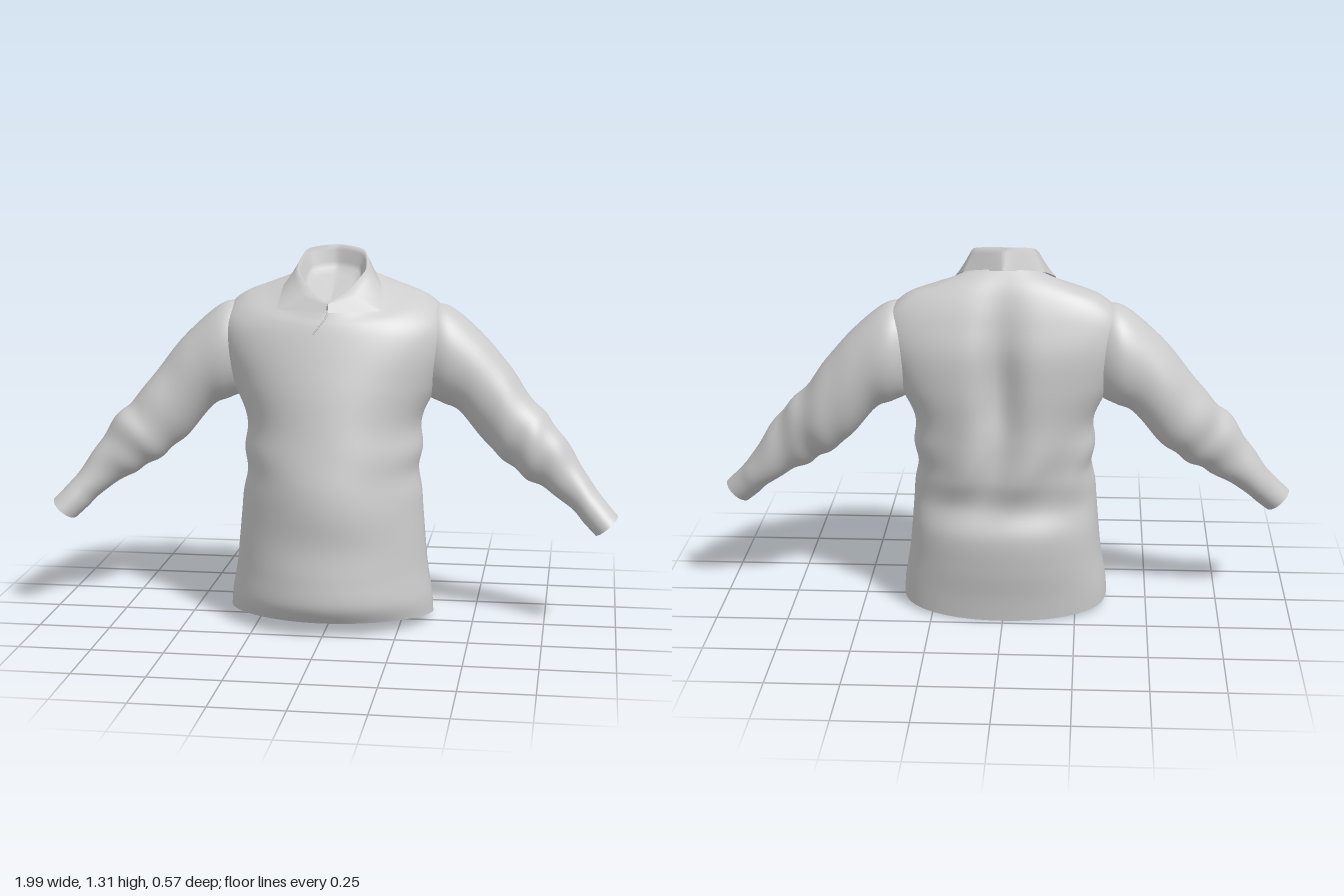
import * as THREE from 'three';

const cloth = new THREE.MeshStandardMaterial({ color: 0xcccccc, side: THREE.DoubleSide });
const bump = (v, centre, width) => Math.exp(-(((v - centre) / width) ** 2));

// Smooth interpolation through rows of numbers, t in 0..1
function sample(rows, t) {
  const s = t * (rows.length - 1);
  const i = Math.min(Math.floor(s), rows.length - 2), f = s - i;
  const row = (k) => rows[Math.max(0, Math.min(rows.length - 1, k))];
  return rows[i].map((b, k) => {
    const a = row(i - 1)[k], c = row(i + 1)[k], d = row(i + 2)[k];
    return b + 0.5 * f * (c - a + f * (2 * a - 5 * b + 4 * c - d + f * (3 * (b - c) + d - a)));
  });
}

// Grid surface from point(u, v); closed surfaces wrap in u so normals stay smooth
function surface(name, point, nu, nv, closed) {
  const pos = [], index = [], cols = closed ? nu : nu + 1;
  for (let i = 0; i <= nv; i++)
    for (let j = 0; j < cols; j++) pos.push(...point(j / nu, i / nv));
  for (let i = 0; i < nv; i++)
    for (let j = 0; j < nu; j++) {
      const a = i * cols + j, b = i * cols + ((j + 1) % cols);
      index.push(a, b, b + cols, a, b + cols, a + cols);
    }
  const g = new THREE.BufferGeometry();
  g.setAttribute('position', new THREE.Float32BufferAttribute(pos, 3));
  g.setIndex(index);
  g.computeVertexNormals();
  const mesh = new THREE.Mesh(g, cloth);
  mesh.name = name;
  return mesh;
}

// Body sections from hem to neck:
// half width, side z, front y, front z, side y, back y, back z
const bodyRows = [
  [0.36, 0.0, 0.052, 0.255, 0.035, 0.003, -0.23],
  [0.355, 0.0, 0.11, 0.288, 0.1, 0.09, -0.243],
  [0.338, 0.0, 0.2, 0.287, 0.2, 0.2, -0.265],
  [0.327, 0.0, 0.31, 0.278, 0.31, 0.32, -0.275],
  [0.318, -0.01, 0.42, 0.281, 0.42, 0.42, -0.243],
  [0.306, -0.02, 0.52, 0.276, 0.52, 0.52, -0.268],
  [0.308, -0.04, 0.62, 0.259, 0.62, 0.62, -0.277],
  [0.312, -0.06, 0.73, 0.232, 0.73, 0.73, -0.281],
  [0.362, -0.08, 0.85, 0.203, 0.84, 0.85, -0.285],
  [0.4, -0.09, 0.95, 0.172, 0.97, 0.97, -0.28],
  [0.395, -0.1, 1.02, 0.147, 1.07, 1.07, -0.252],
  [0.33, -0.1, 1.06, 0.13, 1.143, 1.14, -0.225],
  [0.225, -0.09, 1.085, 0.115, 1.182, 1.195, -0.195],
  [0.14, -0.06, 1.112, 0.1, 1.2, 1.24, -0.155],
];

function bodyPoint(u, v) {
  const [w, zS, yF, zF, yS, yB, zB] = sample(bodyRows, v);
  const a = u * Math.PI * 2, c = Math.cos(a), front = c > 0;
  // The belly is slightly pointed, the back broad and flat
  const k = front ? Math.pow(c, 1.32 - 0.42 * v) : Math.pow(-c, 0.75 - 0.2 * v);
  let x = w * Math.sin(a);
  const y = yS + ((front ? yF : yB) - yS) * k;
  let z = zS + ((front ? zF : zB) - zS) * k;
  if (!front) {
    // Spine groove between the shoulder blades, and slanting folds at the waist
    z += k * 0.06 * bump(x, 0.01 + 0.12 * Math.max(0, 0.7 - y), 0.065) * bump(y, 0.84, 0.25);
    z += k * 0.009 * Math.sin(30 * x + 13 * y) * bump(y, 0.55, 0.13);
  } else {
    z += k * 0.003 * Math.sin(9 * x + 17 * y) * bump(y, 0.5, 0.25);
  }
  // Bunched cloth at the sides of the waist
  x *= 1 + 0.018 * Math.sin(38 * y + 3 * Math.sign(x)) * Math.abs(Math.sin(a)) * bump(y, 0.58, 0.12);
  return [x, y, z];
}

// Sleeve sections from inside the shoulder to cuff: top x, y; bottom x, y; front z; back z
const sleeveRows = [
  [0.24, 1.05, 0.26, 0.88, -0.04, -0.15],
  [0.32, 1.105, 0.32, 0.8, 0.005, -0.205],
  [0.4, 1.108, 0.38, 0.768, 0.028, -0.236],
  [0.52, 1.01, 0.44, 0.74, 0.024, -0.225],
  [0.61, 0.905, 0.53, 0.635, 0.026, -0.212],
  [0.7, 0.785, 0.6, 0.575, 0.042, -0.185],
  [0.77, 0.715, 0.67, 0.525, 0.05, -0.14],
  [0.84, 0.615, 0.745, 0.485, 0.042, -0.112],
  [0.905, 0.515, 0.835, 0.425, 0.058, -0.088],
  [0.95, 0.46, 0.88, 0.38, 0.08, -0.06],
  [0.997, 0.41, 0.92, 0.343, 0.1, -0.035],
];

function sleevePoint(u, v, side) {
  const [tx, ty, bx, by, zF, zB] = sample(sleeveRows, v);
  const a = side * u * Math.PI * 2;
  // Slanting creases gather round the elbow
  const r = 1 + 0.045 * Math.sin(46 * v + 2.4 * Math.sin(a + side)) * bump(v, 0.6, 0.17);
  const c = Math.cos(a) * 0.5 * r, s = Math.sin(a) * 0.5 * r;
  return [
    side * ((tx + bx) / 2 + (tx - bx) * c),
    (ty + by) / 2 + (ty - by) * c,
    (zF + zB) / 2 + (zF - zB) * s,
  ];
}

// Left half of each collar rail, from the front to the middle of the back
const collarRails = [
  // inner base
  [[0, 1.12, 0.09], [0.05, 1.135, 0.06], [0.088, 1.18, -0.01], [0.08, 1.225, -0.09], [0, 1.235, -0.135]],
  // fold line
  [[0, 1.14, 0.112], [0.06, 1.175, 0.075], [0.118, 1.245, -0.005], [0.1, 1.3, -0.1], [0, 1.314, -0.145]],
  // outer edge
  [[0.005, 1.108, 0.13], [0.178, 1.112, 0.09], [0.17, 1.185, -0.015], [0.137, 1.222, -0.11], [0, 1.24, -0.17]],
].map((half, i) => {
  const right = half.map(([x, y, z]) => [-x, y, z]);
  const pts = [...right, ...half.slice(0, -1).reverse()].map((p) => new THREE.Vector3(...p));
  return new THREE.CatmullRomCurve3(pts, false, 'catmullrom', i === 2 ? 0.08 : 0.35);
});

// From the bottom of the neck lining up to the fold and down to the outer edge
function collarPoint(u, v) {
  const rails = [new THREE.Vector3(0, 1.145, 0.02), ...collarRails.map((curve) => curve.getPoint(u))];
  const i = Math.min(Math.floor(v * 3), 2);
  return rails[i].lerp(rails[i + 1], v * 3 - i).toArray();
}

// Short overlapping edge at the front opening, following the chest
function createPlacket() {
  const pts = [0.98, 0.93, 0.88, 0.83, 0.79].map((v, i) =>
    new THREE.Vector3(...bodyPoint(1 - 0.005 * i, v)));
  const mesh = new THREE.Mesh(
    new THREE.TubeGeometry(new THREE.CatmullRomCurve3(pts), 16, 0.003, 6), cloth);
  mesh.name = 'placketEdge';
  return mesh;
}

export function createModel() {
  const shirt = new THREE.Group();
  shirt.name = 'shirt';
  shirt.add(surface('body', bodyPoint, 96, 90, true));
  for (const side of [1, -1])
    shirt.add(surface(side > 0 ? 'leftSleeve' : 'rightSleeve',
      (u, v) => sleevePoint(u, v, side), 40, 70, true));
  shirt.add(surface('collarAndNeckLining', collarPoint, 64, 12, false));
  shirt.add(createPlacket());
  return shirt;
}
